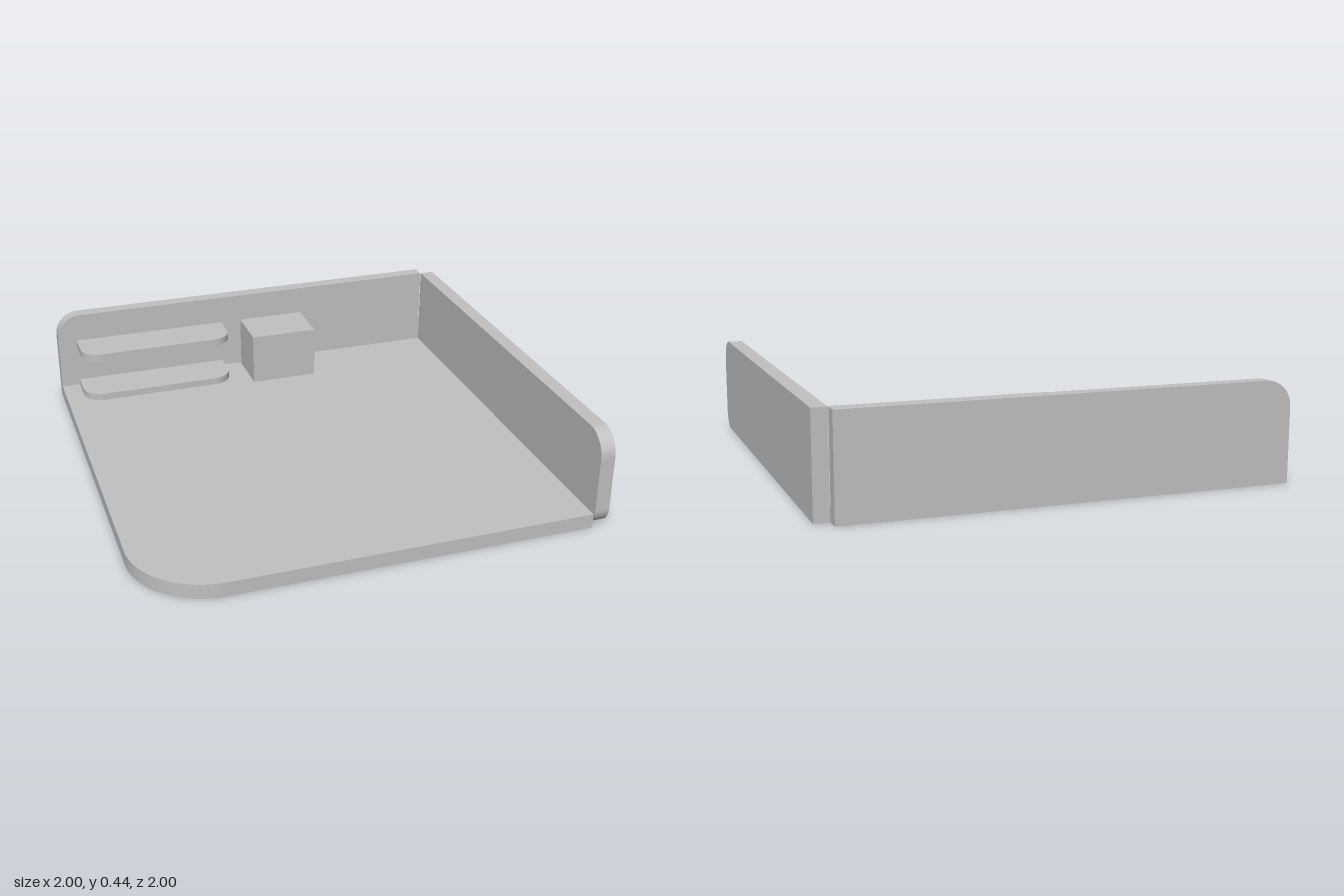
import * as THREE from 'three';

// Rectangle outline with a radius per corner: [lower left, lower right, upper right, upper left]
function outline(x0, y0, x1, y1, [ll, lr, ur, ul]) {
  const s = new THREE.Shape();
  s.moveTo(x0 + ll, y0);
  s.lineTo(x1 - lr, y0);
  if (lr) s.absarc(x1 - lr, y0 + lr, lr, -Math.PI / 2, 0);
  s.lineTo(x1, y1 - ur);
  if (ur) s.absarc(x1 - ur, y1 - ur, ur, 0, Math.PI / 2);
  s.lineTo(x0 + ul, y1);
  if (ul) s.absarc(x0 + ul, y1 - ul, ul, Math.PI / 2, Math.PI);
  s.lineTo(x0, y0 + ll);
  if (ll) s.absarc(x0 + ll, y0 + ll, ll, Math.PI, Math.PI * 1.5);
  return s;
}

const extrude = (shape, depth) =>
  new THREE.ExtrudeGeometry(shape, { depth, bevelEnabled: false, curveSegments: 10 });

// Horizontal plate: the outline is drawn in x and -z, then laid flat from y0 to y1
const plate = (x0, z0, x1, z1, y0, y1, radii) =>
  extrude(outline(x0, -z1, x1, -z0, radii), y1 - y0).rotateX(-Math.PI / 2).translate(0, y0, 0);

export function createModel() {
  const model = new THREE.Group();
  const grey = new THREE.MeshStandardMaterial({ color: 0xc0c0c0 });
  grey.name = 'light grey';

  const add = (name, geometry) => {
    const mesh = new THREE.Mesh(geometry, grey);
    mesh.name = name;
    model.add(mesh);
  };

  // Floor slab with one large rounded front corner
  add('floor', plate(-1, -0.937, 0.932, 0.992, 0, 0.065, [0.34, 0, 0, 0]));

  // Back wall, rounded at its free upper corner
  add('backWall', extrude(outline(-1, 0, 0.932, 0.44, [0, 0, 0, 0.115]), 0.063).translate(0, 0, -1));

  // Side wall: outline in -z and y, rounded at both front corners
  add('sideWall', extrude(outline(-1, 0, 0.937, 0.44, [0.085, 0, 0, 0.11]), 0.066)
    .rotateY(Math.PI / 2).translate(0.934, 0, 0));

  // Two matching shelves with rounded front corners
  [['lowerShelf', 0.065], ['upperShelf', 0.278]].forEach(([name, y]) =>
    add(name, plate(-0.913, -0.925, -0.17, -0.722, y, y + 0.033, [0.09, 0.09, 0, 0])));

  // Block standing beside the shelves
  add('block', new THREE.BoxGeometry(0.322, 0.246, 0.24).translate(0.092, 0.188, -0.805));

  return model;
}
